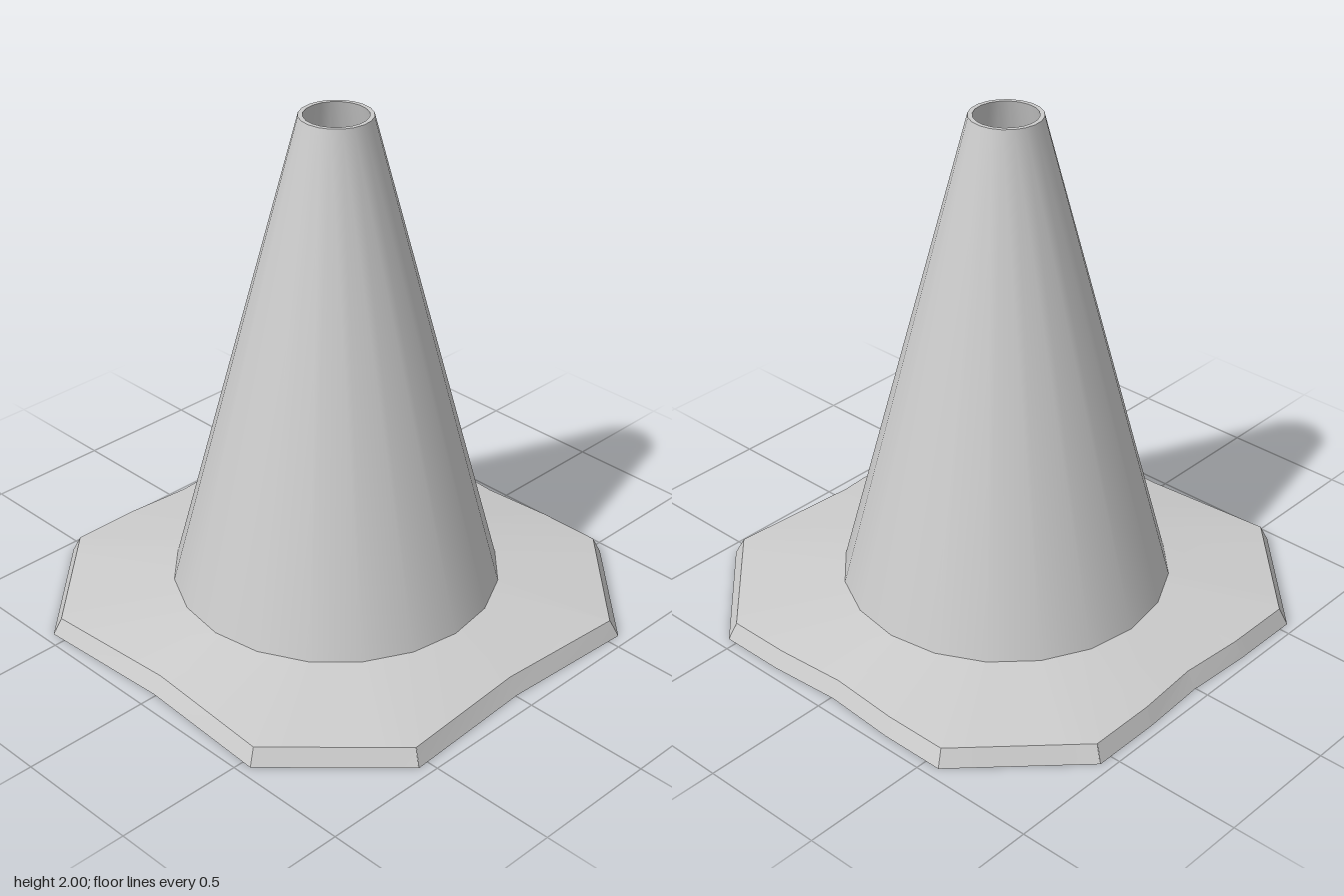
import * as THREE from 'three';
import { toCreasedNormals } from 'three/addons/utils/BufferGeometryUtils.js';

const SIDES = 20;

// Regular polygon in the same angular layout as a lathe, as [x, z] points
const circle = (r) => Array.from({ length: SIDES }, (_, i) => {
  const a = (i / SIDES) * Math.PI * 2;
  return [r * Math.sin(a), r * Math.cos(a)];
});

// Distance from the centre to a star-shaped outline in the direction of angle a
function reach(outline, a) {
  const dx = Math.sin(a), dz = Math.cos(a);
  for (let i = 0; i < outline.length; i++) {
    const [px, pz] = outline[i];
    const [qx, qz] = outline[(i + 1) % outline.length];
    const ex = qx - px, ez = qz - pz;
    const det = dx * ez - dz * ex;
    if (Math.abs(det) < 1e-9) continue;
    const r = (px * ez - pz * ex) / det;
    const t = (px * dz - pz * dx) / det;
    if (r > 0 && t > -1e-6 && t < 1 + 1e-6) return r;
  }
  return 0;
}

// Skin between outlines, using every corner angle as a station
function loft(rings) {
  const angles = rings.flatMap(({ outline }) => outline.map(([x, z]) => Math.atan2(x, z)))
    .sort((a, b) => a - b)
    .filter((a, i, all) => i === 0 || a - all[i - 1] > 1e-4);
  const n = angles.length;
  const positions = [], index = [];
  rings.forEach(({ outline, y }, k) => angles.forEach((a, i) => {
    const r = reach(outline, a);
    positions.push(r * Math.sin(a), y, r * Math.cos(a));
    if (k === 0) return;
    const j = (i + 1) % n, lo = (k - 1) * n, hi = k * n;
    index.push(lo + i, lo + j, hi + j, lo + i, hi + j, hi + i);
  }));
  const geometry = new THREE.BufferGeometry();
  geometry.setAttribute('position', new THREE.Float32BufferAttribute(positions, 3));
  geometry.setIndex(index);
  return toCreasedNormals(geometry, 0.15);
}

export function createModel() {
  const group = new THREE.Group();
  group.name = 'trafficCone';
  const material = new THREE.MeshStandardMaterial({ color: 0xcccccc, side: THREE.DoubleSide });

  // Foot plate: cut corners, sides pinched in at the middle, sloping up to the cone
  const footEdge = [
    [0, 0.935], [0.55, 0.965], [0.95, 0.55], [0.95, 0.29], [0.93, 0], [0.95, -0.29], [0.95, -0.55],
    [0.55, -0.95], [0.27, -0.95], [0, -0.935], [-0.27, -0.95], [-0.55, -0.95],
    [-0.965, -0.55], [-0.935, 0], [-0.965, 0.55], [-0.55, 0.965],
  ];
  const shoulder = [
    [0, 0.9], [0.53, 0.935], [0.92, 0.535], [0.92, 0.28], [0.9, 0], [0.92, -0.28], [0.92, -0.535],
    [0.535, -0.92], [0.26, -0.92], [0, -0.9], [-0.26, -0.92], [-0.535, -0.92],
    [-0.935, -0.535], [-0.9, 0], [-0.935, 0.535], [-0.535, 0.935],
  ];
  const foot = new THREE.Mesh(loft([
    { outline: circle(0.6), y: 0 },
    { outline: footEdge, y: 0 },
    { outline: shoulder, y: 0.065 },
    { outline: circle(0.63), y: 0.12 },
  ]), material);
  foot.name = 'footPlate';

  // Hollow cone: outer wall, rim, inner wall and the lip of the bottom opening
  const profile = [[0.63, 0.12], [0.135, 2], [0.118, 2], [0.59, 0.1], [0.6, 0.06], [0.6, 0]]
    .map(([r, y]) => new THREE.Vector2(r, y));
  const cone = new THREE.Mesh(toCreasedNormals(new THREE.LatheGeometry(profile, SIDES), 0.45), material);
  cone.name = 'hollowCone';

  group.add(foot, cone);
  // The plate is slightly uneven, so its bounds centre sits just off the cone axis
  group.children.forEach((part) => part.position.set(0.005, 0, -0.01));
  return group;
}
